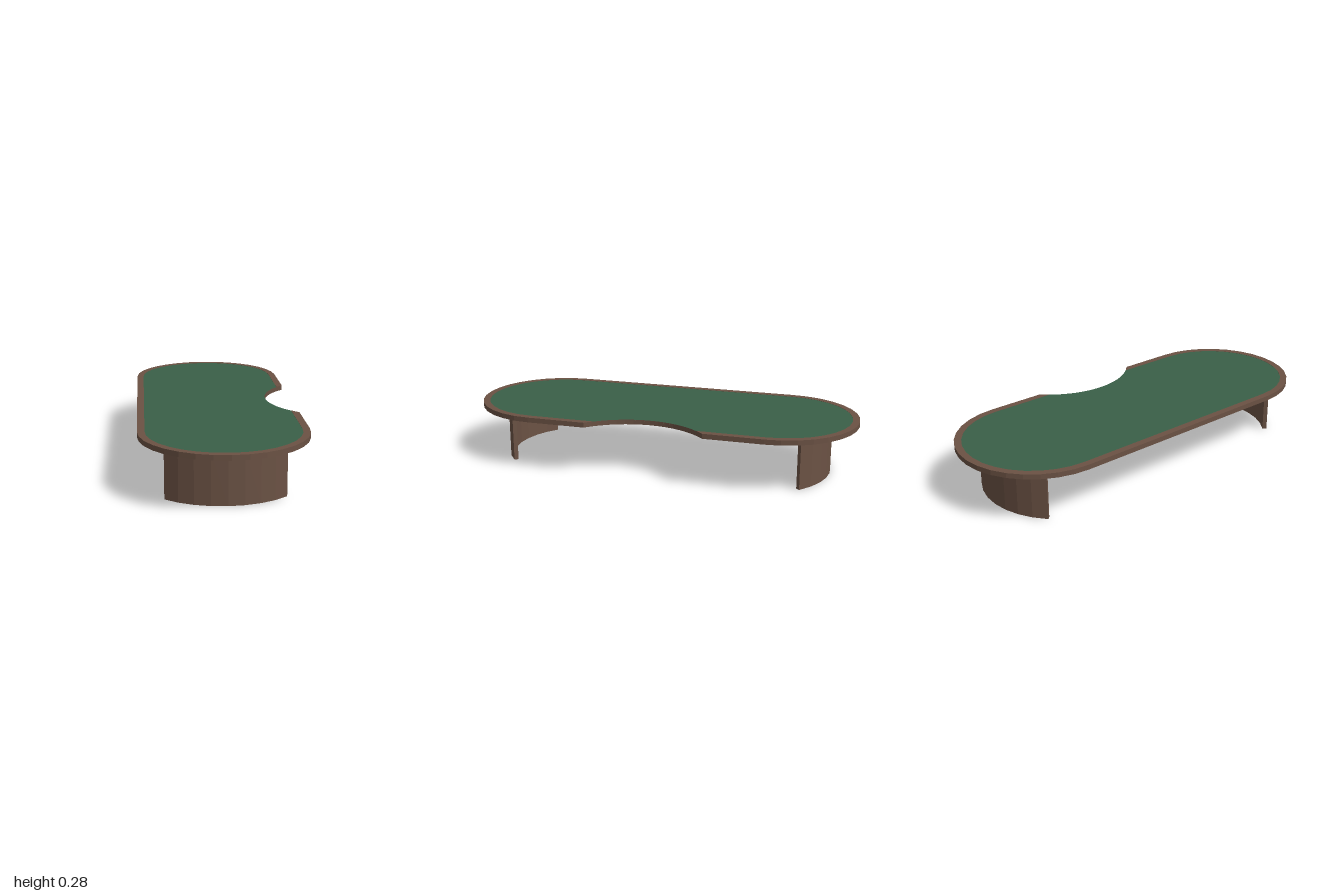
import * as THREE from 'three';

const CUT_X = 0.68, CUT_R = 0.411; // circular notch on the +x side
const cutZ = (x) => Math.sqrt(CUT_R ** 2 - (CUT_X - x) ** 2);

// Stadium outline of half width r, open at the notch
function stadium(r) {
  const pts = [new THREE.Vector2(r, cutZ(r))];
  for (const [cz, start] of [[0.6, 0], [-0.6, Math.PI]]) {
    for (let i = 0; i <= 16; i++) {
      const a = start + (Math.PI * i) / 16;
      pts.push(new THREE.Vector2(r * Math.cos(a), cz + r * Math.sin(a)));
    }
  }
  pts.push(new THREE.Vector2(r, -cutZ(r)));
  return pts;
}

// Stadium closed by the concave notch arc
function notched(r) {
  const pts = stadium(r);
  const half = Math.atan2(cutZ(r), CUT_X - r);
  for (let i = 1; i < 16; i++) {
    const a = Math.PI + half - (2 * half * i) / 16;
    pts.push(new THREE.Vector2(CUT_X + CUT_R * Math.cos(a), CUT_R * Math.sin(a)));
  }
  return pts;
}

// Upright prism from an outline in x and z
function prism(name, pts, bottom, top, material) {
  const geo = new THREE.ExtrudeGeometry(new THREE.Shape(pts), { depth: top - bottom, bevelEnabled: false });
  geo.rotateX(Math.PI / 2);
  geo.translate(0, top, 0);
  const mesh = new THREE.Mesh(geo, material);
  mesh.name = name;
  return mesh;
}

export function createModel() {
  const wood = new THREE.MeshStandardMaterial({ color: 0x6b5244 });
  wood.name = 'brown wood';
  const felt = new THREE.MeshStandardMaterial({ color: 0x3a6048 });
  felt.name = 'green felt';

  const model = new THREE.Group();
  model.name = 'gamingTable';

  // Table top: slab, raised rim and felt inlay with wooden edges
  model.add(prism('tableSlab', notched(0.4), 0.255, 0.274, wood));
  model.add(prism('rim', [...stadium(0.4), ...stadium(0.365).reverse()], 0.274, 0.28, wood));
  model.add(prism('feltInlay', notched(0.365), 0.274, 0.279, [felt, wood]));

  // Curved panel legs, bulging outwards at each end
  const outer = 0.41, inner = 0.388, half = THREE.MathUtils.degToRad(43);
  for (const side of [1, -1]) {
    const arc = (r) => Array.from({ length: 9 }, (_, i) => {
      const a = -half + (2 * half * i) / 8;
      return new THREE.Vector2(-0.002 + r * Math.sin(a), -0.005 + side * (0.45 + r * Math.cos(a)));
    });
    model.add(prism(side > 0 ? 'frontLeg' : 'backLeg', [...arc(outer), ...arc(inner).reverse()], 0, 0.255, wood));
  }
  return model;
}
